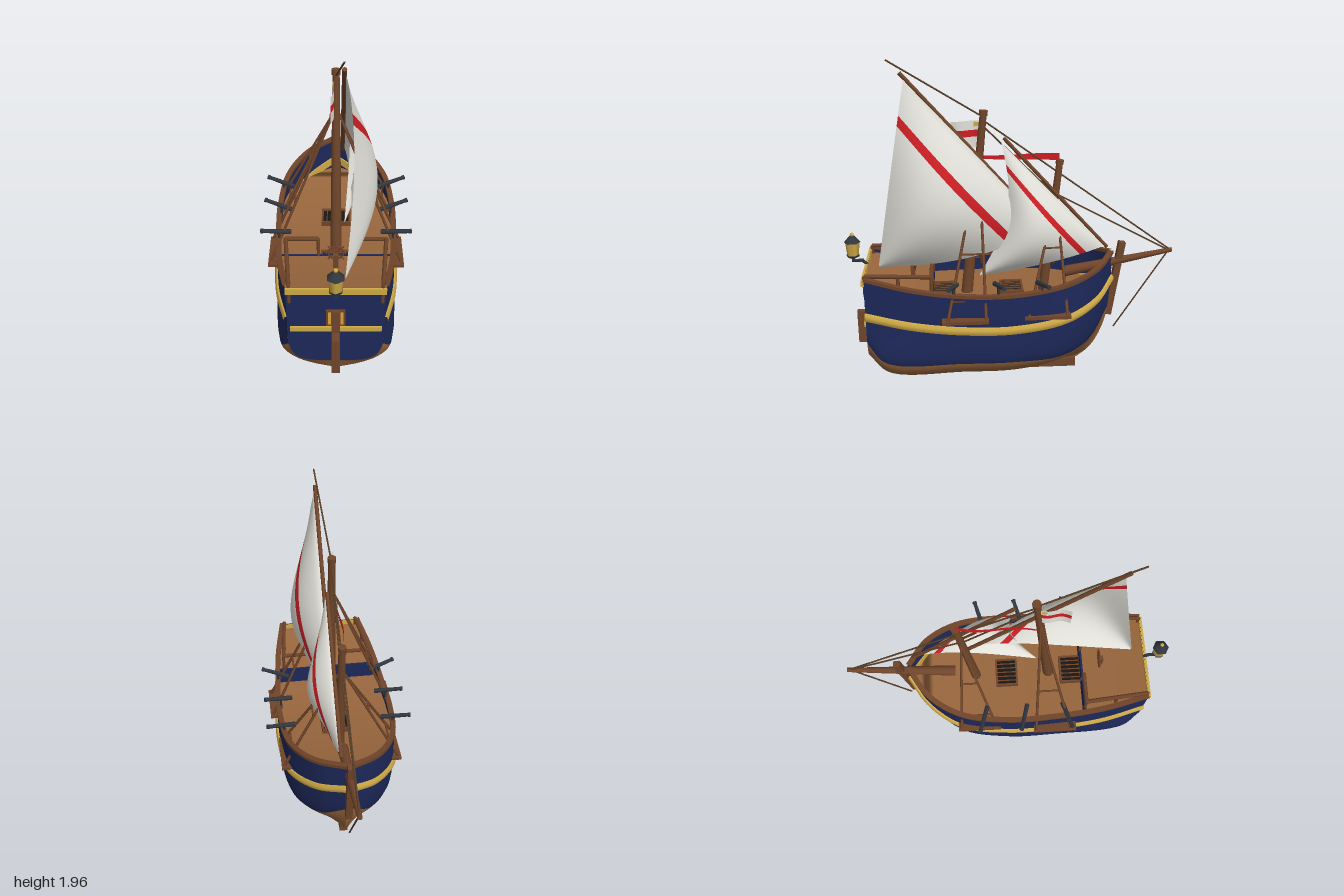
import * as THREE from 'three';
import { toCreasedNormals } from 'three/addons/utils/BufferGeometryUtils.js';
import { ParametricGeometry } from 'three/addons/geometries/ParametricGeometry.js';

const V = (x, y, z) => new THREE.Vector3(x, y, z);
const mat = (name, color, side = THREE.FrontSide) =>
  Object.assign(new THREE.MeshStandardMaterial({ color, side }), { name });

export function createModel() {
  const root = new THREE.Group();
  root.name = 'sailingShip';
  const D = THREE.DoubleSide;
  const planks = mat('hullPlanks', 0x98663d, D), wood = mat('darkWood', 0x70452a);
  const blue = mat('bluePaint', 0x1d2859, D), gold = mat('goldTrim', 0xd0aa46);
  const canvas = mat('sailCanvas', 0xe2e1da, D), red = mat('redCloth', 0xce1f24, D);
  const iron = mat('iron', 0x31363f), dark = mat('darkOpening', 0x1a1613);
  const rope = mat('rope', 0x5a3f27), glass = mat('amberGlass', 0xd9a436);

  const add = (name, geo, m, parent = root) => {
    const mesh = new THREE.Mesh(geo, m);
    mesh.name = name;
    parent.add(mesh);
    return mesh;
  };
  const box = (name, m, w, h, d, x, y, z) => {
    const b = add(name, new THREE.BoxGeometry(w, h, d), m);
    b.position.set(x, y, z);
    return b;
  };
  // tapered round bar from a to b
  const rod = (name, m, a, b, r1, r2 = r1, sides = 10) => {
    const c = add(name, new THREE.CylinderGeometry(r2, r1, a.distanceTo(b), sides), m);
    c.position.copy(a).lerp(b, 0.5);
    c.quaternion.setFromUnitVectors(V(0, 1, 0), b.clone().sub(a).normalize());
    return c;
  };
  const surface = (name, m, fn, nu, nv) =>
    add(name, new ParametricGeometry((u, v, t) => t.copy(fn(u, v)), nu, nv), m);

  // hull lines from keel to sheer, each running stern to bow
  const rows = [
    [[0, .2, .87], [0, .055, .78], [0, .05, .4], [0, .05, .1], [0, .05, -.15], [0, .05, -.3], [0, .055, -.42]],
    [[.17, .21, .87], [.15, .085, .76], [.18, .085, .3], [.175, .085, 0], [.12, .09, -.22], [.06, .1, -.38], [.01, .13, -.5]],
    [[.23, .25, .87], [.265, .14, .75], [.29, .14, .3], [.285, .14, 0], [.22, .15, -.25], [.11, .18, -.43], [.01, .26, -.57]],
    [[.26, .33, .87], [.315, .225, .76], [.345, .22, .3], [.345, .22, 0], [.29, .22, -.28], [.16, .265, -.47], [.01, .42, -.61]],
    [[.265, .505, .87], [.325, .465, .6], [.35, .438, .3], [.355, .437, 0], [.315, .475, -.3], [.18, .53, -.5], [.01, .6, -.62]],
    [[.27, .74, .87], [.32, .685, .6], [.345, .65, .3], [.352, .65, 0], [.31, .685, -.3], [.19, .73, -.5], [.01, .77, -.62]],
  ].map(r => new THREE.CatmullRomCurve3(r.map(p => V(...p))));
  const hull = (u, v) => new THREE.CatmullRomCurve3(rows.map(r => r.getPoint(u))).getPoint(v);

  // moulding with a ring of section corners, following a hull line
  const moulding = (name, m, row, s, corners) => {
    const n = corners.length;
    const geo = new ParametricGeometry((u, v, t) => {
      const k = Math.round(v * n) % n, [o, h] = corners[s > 0 ? k : (n - k) % n];
      const p = row.getPoint(u), d = row.getTangent(u).setY(0).normalize();
      t.set(s * Math.max(0, p.x - d.z * o), p.y + h, p.z + d.x * o);
    }, 40, n);
    add(name, toCreasedNormals(geo, 0.9), m);
  };
  const waleSection = [[-.01, -.026], [.01, -.024], [.018, -.008], [.018, .008], [.01, .024], [-.01, .026]];
  const capSection = [[.01, -.008], [.01, .012], [-.022, .012], [-.022, -.008]];
  for (const s of [1, -1]) {
    const side = (u, v) => { const p = hull(u, v); p.x *= s; return p; };
    surface('lowerHull', planks, (u, v) => side(u, v * .6), 40, 12);
    surface('upperHull', blue, (u, v) => side(u, .6 + v * .4), 40, 8);
    moulding('wale', gold, rows[4], s, waleSection);
    moulding('capRail', wood, rows[5], s, capSection);
  }

  // transom and its fittings
  const edge = Array.from({ length: 17 }, (_, i) => hull(0, i / 16));
  const outline = [...edge, ...edge.slice(1).reverse().map(p => V(-p.x, p.y, p.z))];
  add('transom', new THREE.ShapeGeometry(new THREE.Shape(outline.map(p => new THREE.Vector2(p.x, p.y)))), blue).position.z = .87;
  box('transomRail', gold, .54, .037, .018, 0, .718, .876);
  box('transomBand', gold, .5, .028, .014, 0, .447, .875);
  box('keel', wood, .05, .055, 1.19, 0, .0275, .185);
  box('rudderPost', wood, .046, .38, .024, 0, .39, .88);
  box('rudderBlade', wood, .036, .21, .08, 0, .32, .91);
  for (const s of [1, -1]) {
    box('windowFrame', wood, .036, .11, .01, s * .034, .525, .873);
    box('sternWindow', glass, .015, .085, .008, s * .034, .525, .876);
  }
  const stem = box('stemPost', wood, .04, .485, .042, 0, .595, -.645);
  stem.rotation.x = -.15;

  // level main deck, fitted to the hull by bisection, and sheered quarterdeck
  const deckY = .535;
  const deckPoint = u => {
    let lo = .6, hi = 1;
    for (let i = 0; i < 14; i++) {
      const mid = (lo + hi) / 2;
      if (hull(u, mid).y < deckY) lo = mid; else hi = mid;
    }
    return hull(u, lo);
  };
  const deck = (name, fn, n) => surface(name, planks, (u, v) => {
    const p = fn(u);
    p.x *= .985 * (1 - 2 * v);
    return p;
  }, n, 2);
  deck('mainDeck', deckPoint, 32);
  deck('quarterDeck', u => hull(u * .235, .97), 10);
  box('deckBulkhead', blue, .64, .11, .012, 0, .588, .482);

  // quarterdeck railing
  for (const s of [1, -1]) {
    const top = [V(s * .285, .755, .48), V(s * .25, .755, .865)];
    rod('sideRail', wood, top[0], top[1], .013, .013, 6);
    rod('frontRail', wood, top[0], V(s * .1, .755, .48), .012, .012, 6);
    for (const t of [0, .5, 1]) {
      const p = top[0].clone().lerp(top[1], t);
      rod('railPost', wood, V(p.x, .63, p.z), p, .011, .011, 6);
    }
    rod('railPost', wood, V(s * .1, .63, .48), V(s * .1, .755, .48), .011, .011, 6);
  }

  // steering wheel
  const wheel = new THREE.Group();
  wheel.name = 'steeringWheel';
  wheel.position.set(0, .74, .585);
  root.add(wheel);
  add('wheelRim', new THREE.TorusGeometry(.042, .006, 6, 20), wood, wheel);
  for (let i = 0; i < 4; i++)
    add('wheelSpoke', new THREE.CylinderGeometry(.004, .004, .125, 6), wood, wheel).rotation.z = i * Math.PI / 4;
  box('wheelStand', wood, .03, .1, .025, 0, .69, .6);

  // grated hatches
  const hatchY = deckY + .012;
  for (const z of [0, .415]) {
    box('hatchOpening', dark, .16, .02, .12, 0, hatchY, z);
    for (const s of [1, -1]) {
      box('hatchCoaming', wood, .18, .04, .012, 0, hatchY, z + s * .065);
      box('hatchCoaming', wood, .012, .04, .14, s * .084, hatchY, z);
    }
    for (let i = -2; i <= 2; i++) box('hatchBar', wood, .006, .012, .12, i * .028, hatchY + .01, z);
  }

  // masts, yards and bowsprit
  rod('mainMast', wood, V(0, .53, .273), V(0, 1.65, .16), .035, .02, 14);
  rod('mainMastCap', wood, V(0, 1.63, .162), V(0, 1.66, .159), .025, .025, 14);
  rod('foreMast', wood, V(0, .53, -.197), V(0, 1.35, -.287), .03, .02, 14);
  rod('foreMastCap', wood, V(0, 1.335, -.285), V(0, 1.36, -.288), .024, .024, 14);
  rod('bowsprit', wood, V(0, .65, -.33), V(0, .775, -.995), .034, .014, 12);
  rod('mainYard', wood, V(.042, 1.885, .628), V(.042, .9, -.25), .012, .012, 8);
  rod('foreYard', wood, V(.042, 1.505, .045), V(.042, .82, -.58), .011, .011, 8);

  // lateen sails, striped parallel to the yard
  const sail = (name, peak, tack, clew, belly, hollow, sag, stripe) => {
    const at = (s, t) => {
      const p = peak.clone().lerp(tack, s).lerp(clew, t), round = Math.sin(Math.PI * t);
      p.x += belly * Math.sin(Math.PI * Math.pow(t, .75)) * (.25 + .75 * Math.sin(Math.PI * s));
      p.z -= hollow * round * (1 - s);
      p.y -= sag * round * s * s;
      return p;
    };
    const strip = (n, m, a, b, k) => surface(n, m, (u, v) => at(u, a + (b - a) * v), 20, k);
    strip(name, canvas, 0, stripe, 5);
    strip(name + 'Stripe', red, stripe, stripe + .052, 2);
    strip(name, canvas, stripe + .052, .99, 18);
  };
  sail('mainSail', V(.046, 1.855, .605), V(.046, .95, -.22), V(.05, .73, .8), .18, 0, .055, .18);
  sail('foreSail', V(.046, 1.48, .06), V(.046, .83, -.565), V(.05, .655, .2), .135, .1, .01, .15);

  // flag and pennant
  const cloth = (name, m, z0, z1, drift, low, high) => surface(name, m, (u, v) =>
    V(-.006 - drift * u - .01 * Math.sin(u * 6.3), low(u) + (high(u) - low(u)) * v, z0 + (z1 - z0) * u), 16, 1);
  for (const [a, b, m] of [[1.44, 1.505, canvas], [1.505, 1.545, red], [1.545, 1.6, canvas]])
    cloth('flag', m, .165, .35, .022, u => a - .01 * u, u => b - .01 * u);
  cloth('pennant', red, -.285, .17, .03, u => 1.355 + .01 * u, u => 1.4 - .015 * u);
  box('flagPatch', gold, .008, .025, .03, -.018, 1.577, .203);

  // standing rigging
  const lines = [
    [V(.04, 1.955, .7), V(0, 1.62, .16)], [V(0, 1.6, .16), V(0, .775, -.985)],
    [V(0, 1.57, .165), V(0, 1.14, -.265)], [V(0, 1.15, -.27), V(0, .77, -.98)],
    [V(0, .765, -.97), V(0, .26, -.65)],
  ];
  for (const [a, b] of lines) rod('stay', rope, a, b, .005, .005, 6);

  // channels and shrouds
  const shrouds = [
    { x: .385, z: [.39, .17], head: V(0, 1.39, .19), mid: .29, inner: .32 },
    { x: .35, z: [-.08, -.305], head: V(0, 1.15, -.265), mid: -.19, inner: .27 },
  ];
  for (const s of [1, -1]) for (const g of shrouds) {
    box('channel', wood, g.x + .015 - g.inner, .02, .27, s * (g.x + .015 + g.inner) / 2, .51, g.mid);
    const feet = g.z.map(z => V(s * g.x, .515, z));
    const head = V(s * .02, g.head.y, g.head.z);
    for (const f of feet) rod('shroud', wood, f, head, .009, .007, 6);
    for (const y of [.62, .87]) {
      const t = (y - .515) / (head.y - .515);
      rod('ratline', wood, ...feet.map(f => f.clone().lerp(head, t)), .006, .006, 6);
    }
  }

  // swivel guns
  for (const s of [1, -1]) for (const [z0, z1] of [[-.135, -.185], [.115, .068], [.335, .382]]) {
    const a = V(s * .265, .695, z0), b = V(s * .435, .735, z1);
    rod('gunBarrel', iron, a, b, .015, .011);
    rod('gunMuzzle', iron, b.clone().lerp(a, .08), b, .014, .014);
    const m = a.clone().lerp(b, .4);
    rod('gunPost', iron, V(m.x, .63, m.z), m, .008, .008, 6);
  }

  // stern lantern
  rod('lanternArm', iron, V(0, .73, .87), V(0, .757, .9), .01, .01, 6);
  rod('lanternArm', iron, V(0, .757, .89), V(0, .757, .96), .01, .01, 6);
  const tier = (name, m, y0, y1, r0, r1) => rod(name, m, V(0, y0, .953), V(0, y1, .953), r0, r1, 6);
  tier('lanternStem', iron, .75, .79, .01, .01);
  tier('lanternBase', iron, .783, .795, .036, .04);
  tier('lanternGlass', gold, .795, .875, .035, .043);
  tier('lanternCap', iron, .875, .915, .05, .015);
  const finial = add('lanternFinial', new THREE.SphereGeometry(.012, 10, 8), gold);
  finial.position.set(0, .923, .953);
  return root;
}
